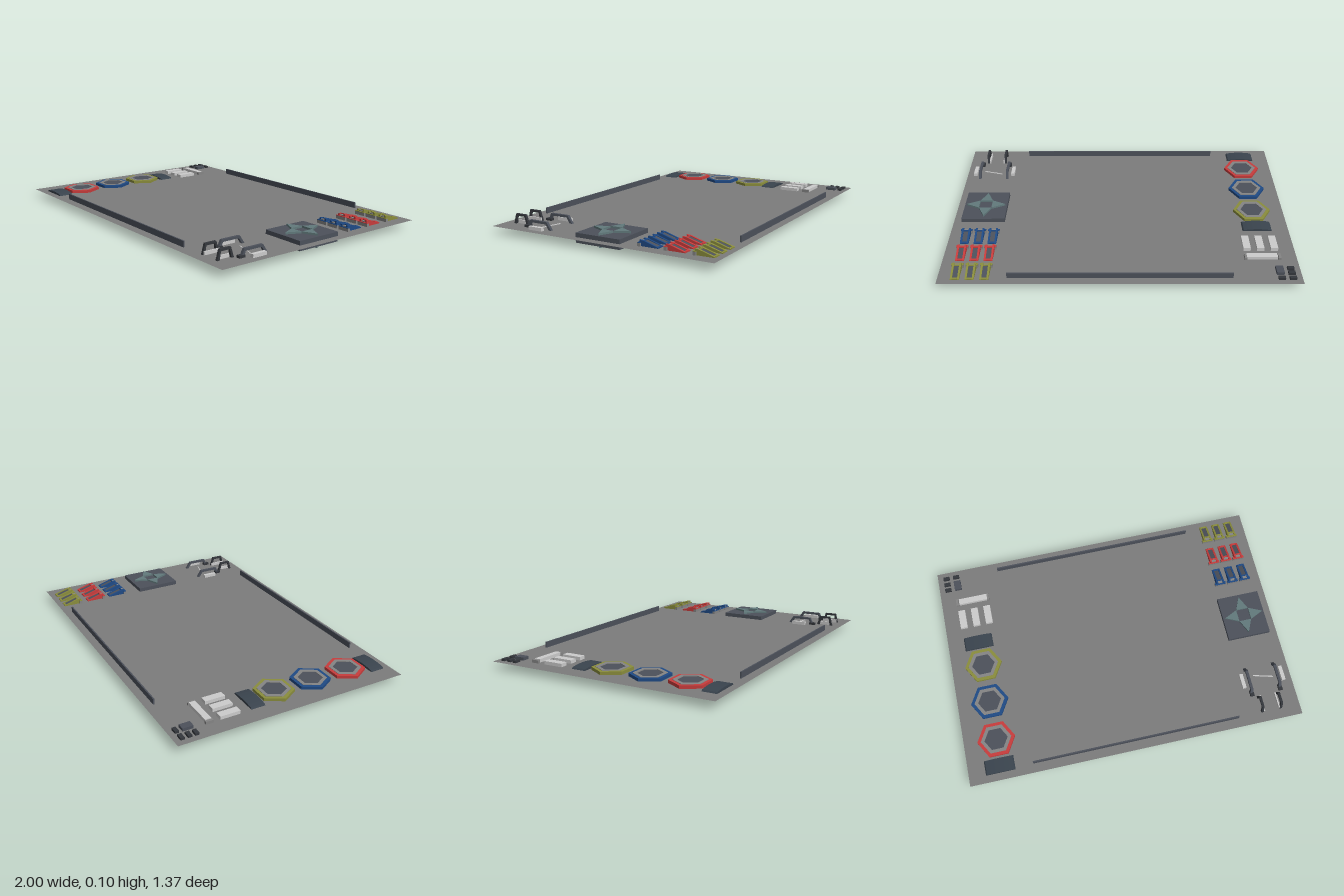
import * as THREE from 'three';

const SHEET_Y = 0.043;
const mat = (color) => new THREE.MeshStandardMaterial({ color, flatShading: true });
const M = {
  sheet: new THREE.MeshStandardMaterial({ color: 0x7c7c7c, side: THREE.DoubleSide }),
  slate: mat(0x4c515b), dark: mat(0x3a444e), black: mat(0x34373c), teal: mat(0x627a7c),
  grey: mat(0x858585), light: mat(0xcccccc),
  yellow: mat(0x8a8d3c), red: mat(0xc83c3c), blue: mat(0x1f4a85),
};

export function createModel() {
  const root = new THREE.Group();

  const add = (name, geo, material, x = 0, y = 0, z = 0, parent = root) => {
    const mesh = new THREE.Mesh(geo, material);
    mesh.name = name;
    mesh.position.set(x, y, z);
    parent.add(mesh);
    return mesh;
  };
  // Box given by its extents along each axis
  const block = (name, material, [x0, x1], [y0, y1], [z0, z1], parent = root) =>
    add(name, new THREE.BoxGeometry(x1 - x0, y1 - y0, z1 - z0), material,
      (x0 + x1) / 2, (y0 + y1) / 2, (z0 + z1) / 2, parent);
  const shapeOf = (pts) => new THREE.Shape(pts.map(([a, b]) => new THREE.Vector2(a, b)));
  // Profile in (z, y), extruded across x and centred
  const sideExtrude = (pts, width) =>
    new THREE.ExtrudeGeometry(shapeOf(pts), { depth: width, bevelEnabled: false })
      .translate(0, 0, -width / 2).rotateY(-Math.PI / 2);
  // Outline in plan, extruded up from y = 0
  const planExtrude = (shape, height) =>
    new THREE.ExtrudeGeometry(shape, { depth: height, bevelEnabled: false }).rotateX(-Math.PI / 2);
  const hexPoints = (r) => Array.from({ length: 6 }, (_, i) =>
    [r * Math.cos(i * Math.PI / 3), r * Math.sin(i * Math.PI / 3)]);
  const hexRing = (outer, inner, height) => {
    const s = shapeOf(hexPoints(outer));
    s.holes.push(shapeOf(hexPoints(inner)));
    return planExtrude(s, height);
  };

  // Base sheet
  add('baseSheet', new THREE.PlaneGeometry(2, 1.374).rotateX(-Math.PI / 2), M.sheet, 0, SHEET_Y, 0);

  // Long rails along the front and back edges
  for (const z of [-0.635, 0.63])
    block('edgeRail', M.slate, [-0.62, 0.62], [SHEET_Y, 0.077], [z - 0.004, z + 0.004]);

  // Hexagonal buttons: coloured collar, grey ring, dark core
  [[-0.024, M.yellow], [0.211, M.blue], [0.447, M.red]].forEach(([z, colour]) => {
    const g = new THREE.Group();
    g.name = 'hexButton';
    g.position.set(-0.807, 0, z);
    root.add(g);
    add('collar', hexRing(0.112, 0.09, 0.027), colour, 0, 0.033, 0, g);
    add('innerRing', hexRing(0.091, 0.069, 0.038), M.grey, 0, 0.024, 0, g);
    add('core', planExtrude(shapeOf(hexPoints(0.07)), 0.015), M.slate, 0, 0.043, 0, g);
  });

  // Shallow arched pads at both ends of the button column
  const arch = new THREE.Shape();
  arch.moveTo(-0.087, 0);
  arch.lineTo(0.087, 0);
  arch.lineTo(0.08, 0.008);
  arch.quadraticCurveTo(0, 0.022, -0.08, 0.008);
  arch.closePath();
  for (const z of [-0.178, 0.602]) {
    const geo = new THREE.ExtrudeGeometry(arch, { depth: 0.084, bevelEnabled: false, curveSegments: 6 });
    add('archedPad', geo.translate(0, 0, -0.042), M.dark, -0.814, SHEET_Y, z);
  }

  // Light bars: one across with end caps, three lengthwise
  block('crossBar', M.light, [-0.89, -0.715], [SHEET_Y, 0.062], [-0.483, -0.447]);
  for (const x of [-0.9, -0.709])
    block('crossBarCap', M.grey, [x - 0.009, x + 0.006], [SHEET_Y, 0.06], [-0.487, -0.443]);
  for (const x of [-0.884, -0.805, -0.727])
    block('lightBar', M.light, [x - 0.021, x + 0.021], [SHEET_Y, 0.062], [-0.404, -0.286]);

  // Small dark keys in the back corner
  for (const z of [-0.644, -0.603, -0.564])
    block('smallKey', M.black, [-0.965, -0.927], [SHEET_Y, 0.056], [z - 0.011, z + 0.011]);
  block('smallKey', M.black, [-0.904, -0.866], [SHEET_Y, 0.056], [-0.655, -0.633]);
  block('tallKey', M.slate, [-0.904, -0.862], [SHEET_Y, 0.06], [-0.614, -0.553]);

  // Wedge clips: sloping cheeks around a dark insert, with a wide front foot
  const cheek = sideExtrude([[-0.058, 0], [0.052, 0], [0.052, 0.032], [0.03, 0.03], [-0.058, 0.004]], 0.011);
  const insert = sideExtrude([[-0.046, 0], [0.03, 0], [0.03, 0.026], [-0.046, 0.005]], 0.028);
  [[-0.594, M.yellow], [-0.434, M.red], [-0.281, M.blue]].forEach(([z, colour]) => {
    for (const x of [0.743, 0.823, 0.903]) {
      const g = new THREE.Group();
      g.name = 'wedgeClip';
      g.position.set(x, SHEET_Y, z);
      root.add(g);
      for (const s of [-1, 1]) add('cheek', cheek, colour, s * 0.0195, 0, 0, g);
      add('insert', insert, M.slate, 0, 0, 0, g);
      block('backLip', colour, [-0.014, 0.014], [0, 0.007], [-0.058, -0.046], g);
      block('crossPiece', colour, [-0.014, 0.014], [0, 0.031], [0.028, 0.036], g);
      block('fill', M.grey, [-0.014, 0.014], [0, 0.026], [0.036, 0.05], g);
      block('foot', M.grey, [-0.034, 0.034], [0, 0.018], [0.042, 0.059], g);
      block('footTrim', colour, [-0.034, 0.034], [0.018, 0.021], [0.042, 0.059], g);
    }
  });

  // Direction pad: slab with four arrows standing proud above and below
  const pad = new THREE.Group();
  pad.name = 'directionPad';
  pad.position.set(0.824, 0, 0.011);
  root.add(pad);
  block('padSlab', M.slate, [-0.13, 0.13], [0.013, 0.067], [-0.138, 0.138], pad);
  const arrow = planExtrude(shapeOf([[0.038, -0.037], [0.118, 0], [0.038, 0.037]]), 0.078);
  for (let i = 0; i < 4; i++)
    add('arrow', arrow, M.teal, 0, 0, 0, pad).rotation.y = i * Math.PI / 2;

  // Trapezoid grab handle, open underneath
  const handle = (z0, z1, t0, t1, top, thick, width) => sideExtrude([
    [z0, 0.036], [z0 + thick * 1.3, 0.036], [t0 + thick * 0.6, top - thick],
    [t1 - thick * 0.6, top - thick], [z1 - thick * 1.3, 0.036], [z1, 0.036],
    [t1, top], [t0, top]], width);
  const large = handle(0.336, 0.512, 0.37, 0.488, 0.087, 0.013, 0.016);
  const small = handle(0.525, 0.632, 0.546, 0.614, 0.1, 0.012, 0.014);
  for (const s of [-1, 1]) {
    const cx = 0.826;
    add('largeHandle', large, M.slate, cx + s * 0.088, 0, 0);
    block('handleFoot', M.black, [cx + s * 0.088 - 0.012, cx + s * 0.088 + 0.012], [SHEET_Y, 0.056], [0.485, 0.522]);
    add('smallHandle', small, M.black, cx + s * 0.057, 0, 0);
    const px = cx + s * 0.122;
    block('sidePlate', M.light, [px - 0.011, px + 0.011], [SHEET_Y, 0.062], [0.377, 0.465]);
    const ix = cx + s * 0.046;
    block('innerPlate', M.light, [ix - 0.004, ix + 0.004], [SHEET_Y, 0.062], [0.53, 0.625]);
  }
  // Thin strip between the large handles
  const strip = block('tieStrip', M.light, [0.775, 0.895], [SHEET_Y, 0.047], [0.41, 0.416]);
  strip.rotation.y = -0.26;

  return root;
}
